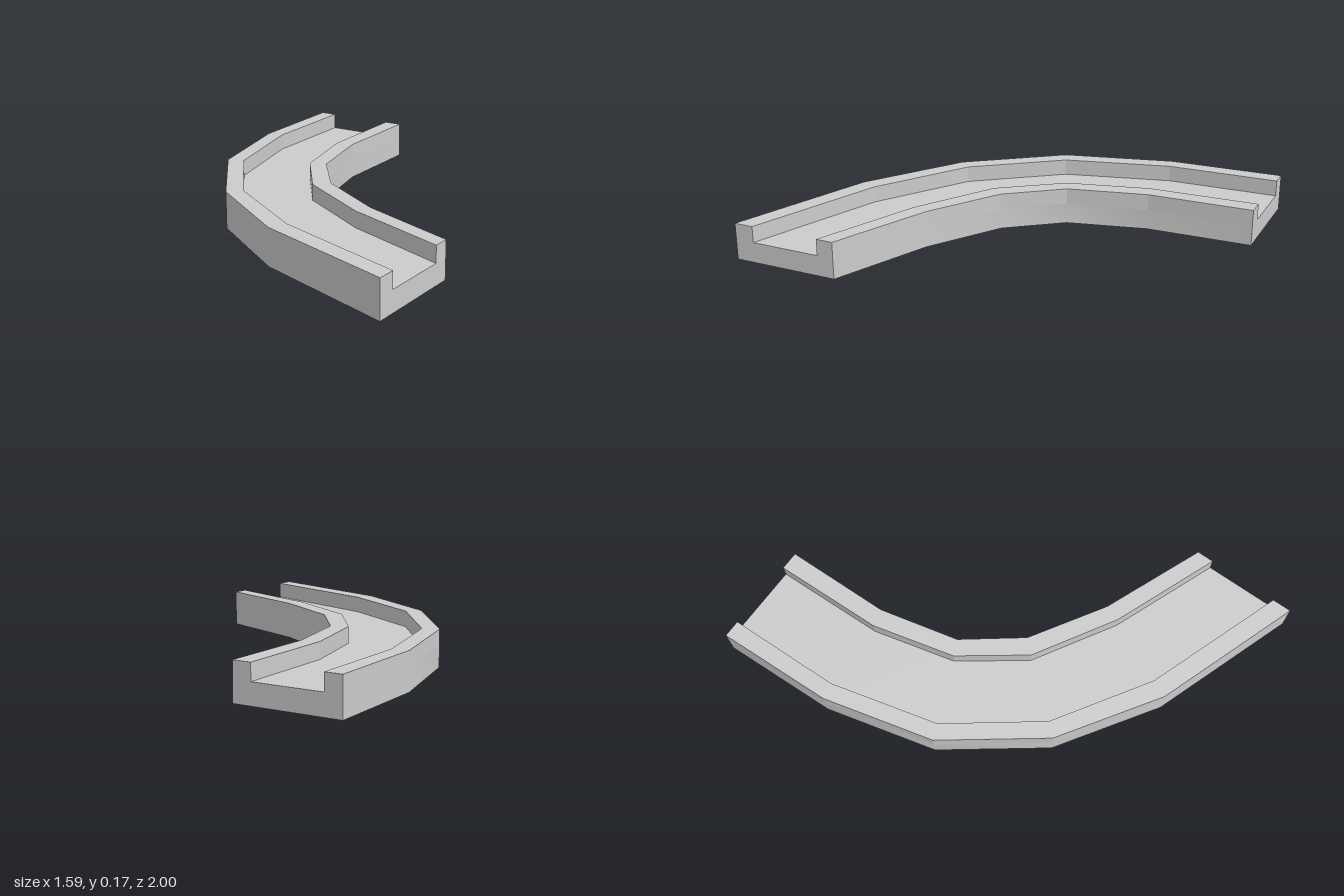
import * as THREE from 'three';
import { toCreasedNormals } from 'three/addons/utils/BufferGeometryUtils.js';

const FLOOR = 0.095; // height of the channel floor
const TOP = 0.17;    // height of the side rails

// Plan curves as [x, z], from the back end round to the left end
const outerEdge = [[-0.797, -1], [-0.772, -0.46], [-0.64, 0.05], [-0.325, 0.47], [0.12, 0.762], [0.793, 1]];
const outerGroove = [[-0.716, -1], [-0.697, -0.475], [-0.568, 0.02], [-0.272, 0.412], [0.155, 0.683], [0.793, 0.91]];
const innerGroove = [[-0.39, -1], [-0.371, -0.49], [-0.275, -0.11], [-0.068, 0.17], [0.3, 0.39], [0.793, 0.583]];
const innerEdge = [[-0.304, -1], [-0.29, -0.51], [-0.202, -0.143], [-0.01, 0.108], [0.325, 0.315], [0.793, 0.504]];

// Solid band between two plan curves, from height y0 to y1
function band(curveA, curveB, y0, y1) {
  const outline = [...curveA, ...[...curveB].reverse()];
  const shape = new THREE.Shape(outline.map(([x, z]) => new THREE.Vector2(x, z)));
  const geometry = new THREE.ExtrudeGeometry(shape, { depth: y1 - y0, bevelEnabled: false });
  geometry.rotateX(Math.PI / 2);
  geometry.translate(0, y1, 0);
  return geometry;
}

export function createModel() {
  const group = new THREE.Group();
  group.name = 'curvedTrack';
  const material = new THREE.MeshStandardMaterial({ color: 0xcccccc });
  const add = (name, geometry) => {
    const mesh = new THREE.Mesh(geometry, material);
    mesh.name = name;
    group.add(mesh);
  };

  // Base slab: side walls shade smoothly round the bend
  add('base', toCreasedNormals(band(outerEdge, innerEdge, 0, FLOOR), 0.6));

  // Raised rails: faceted
  add('outerRail', band(outerEdge, outerGroove, FLOOR, TOP));
  add('innerRail', band(innerGroove, innerEdge, FLOOR, TOP));

  return group;
}
